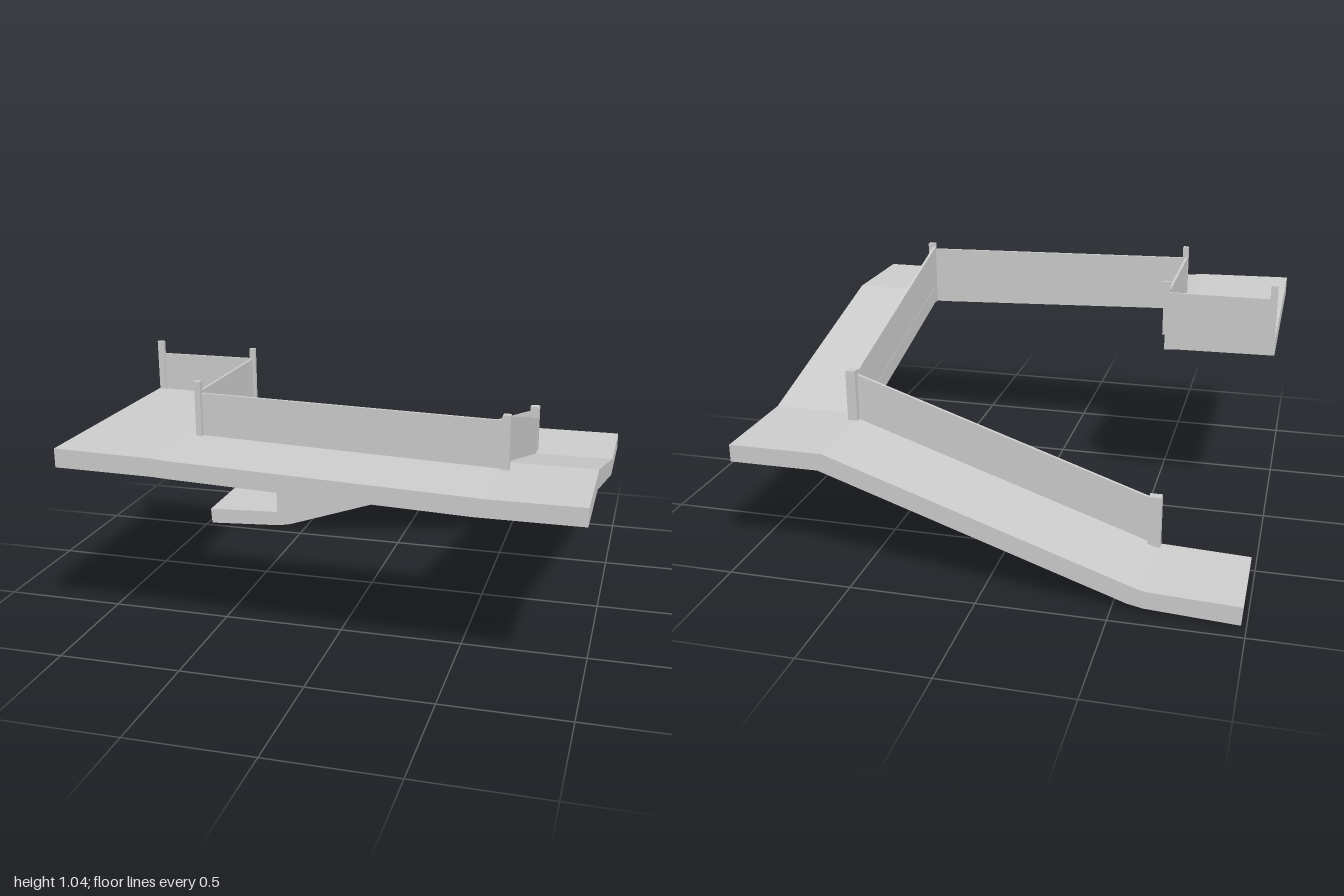
import * as THREE from 'three';

const material = new THREE.MeshStandardMaterial({ color: 0xcccccc, flatShading: true });

export function createModel() {
  const model = new THREE.Group();

  const add = (name, geometry) => {
    const mesh = new THREE.Mesh(geometry, material);
    mesh.name = name;
    model.add(mesh);
    return mesh;
  };

  // Prism whose side outline lies in the x-y plane, spanning z0..z1
  const alongX = (name, outline, z0, z1) => {
    const shape = new THREE.Shape(outline.map(([x, y]) => new THREE.Vector2(x, y)));
    const g = new THREE.ExtrudeGeometry(shape, { depth: z1 - z0, bevelEnabled: false });
    return add(name, g.translate(0, 0, z0));
  };

  // Prism whose side outline lies in the z-y plane, spanning x0..x1
  const alongZ = (name, outline, x0, x1) => {
    const shape = new THREE.Shape(outline.map(([z, y]) => new THREE.Vector2(-z, y)));
    const g = new THREE.ExtrudeGeometry(shape, { depth: x1 - x0, bevelEnabled: false });
    return add(name, g.rotateY(Math.PI / 2).translate(x0, 0, 0));
  };

  // Walkway: lower ramp at the back, middle ramp on the left, upper run at the front
  alongX('lowerRamp', [
    [-0.98, 0], [-0.62, 0.02], [-0.56, 0.032], [0.64, 0.44], [1, 0.44],
    [1, 0.51], [0.62, 0.51], [-0.6, 0.096], [-0.63, 0.09], [-0.985, 0.075],
  ], -0.92, -0.53);
  alongZ('middleRamp', [
    [0.55, 0.7], [0.51, 0.7], [-0.48, 0.44], [-0.53, 0.44],
    [-0.53, 0.51], [-0.495, 0.51], [0.48, 0.77], [0.55, 0.77],
  ], 0.64, 1);
  alongX('upperRamp', [
    [-0.55, 0.742], [0.6, 0.7], [1, 0.7], [1, 0.77], [0.64, 0.77], [-0.55, 0.812],
  ], 0.55, 0.915);
  alongX('topPlatform', [
    [-1, 0.75], [-0.6, 0.745], [-0.55, 0.742], [-0.55, 0.812], [-0.6, 0.817], [-1, 0.825],
  ], -0.06, 0.915);

  // Small gusset filling the lower inside corner
  const corner = new THREE.Shape([
    new THREE.Vector2(0.615, 0.53), new THREE.Vector2(0.642, 0.53), new THREE.Vector2(0.642, 0.48),
  ]);
  add('cornerGusset', new THREE.ExtrudeGeometry(corner, { depth: 0.065, bevelEnabled: false })
    .rotateX(-Math.PI / 2).translate(0, 0.442, 0)).geometry.computeVertexNormals();

  // Parapet panels standing on the inner edges
  alongX('lowerPanel', [[-0.6, 0.09], [0.62, 0.505], [0.62, 0.7], [-0.6, 0.285]], -0.545, -0.531);
  alongZ('middlePanel', [
    [0.56, 0.765], [0.48, 0.765], [-0.495, 0.505], [-0.54, 0.505], [-0.54, 0.67], [0.56, 0.97],
  ], 0.641, 0.653);
  alongX('upperPanel', [[-0.55, 0.807], [0.64, 0.765], [0.66, 0.765], [0.66, 0.955], [-0.55, 0.982]], 0.551, 0.564);
  alongZ('platformSidePanel', [[-0.05, 0.807], [0.56, 0.807], [0.56, 0.985], [-0.05, 0.985]], -0.562, -0.551);
  alongX('platformEndPanel', [[-0.99, 0.82], [-0.56, 0.807], [-0.56, 0.985], [-0.99, 0.985]], -0.059, -0.048);

  // Posts: centre x, z, foot, top, width, depth
  [
    [-0.605, -0.55, 0.085, 0.305, 0.05, 0.038],
    [0.635, -0.55, 0.5, 0.72, 0.04, 0.038],
    [0.662, 0.565, 0.765, 0.98, 0.03, 0.028],
    [-0.552, 0.565, 0.805, 1.03, 0.024, 0.028],
    [-0.552, -0.05, 0.805, 1.03, 0.024, 0.018],
    [-0.983, -0.05, 0.82, 1.04, 0.028, 0.018],
  ].forEach(([x, z, foot, top, w, d]) => {
    add('post', new THREE.BoxGeometry(w, top - foot, d)).position.set(x, (foot + top) / 2, z);
  });

  return model;
}
